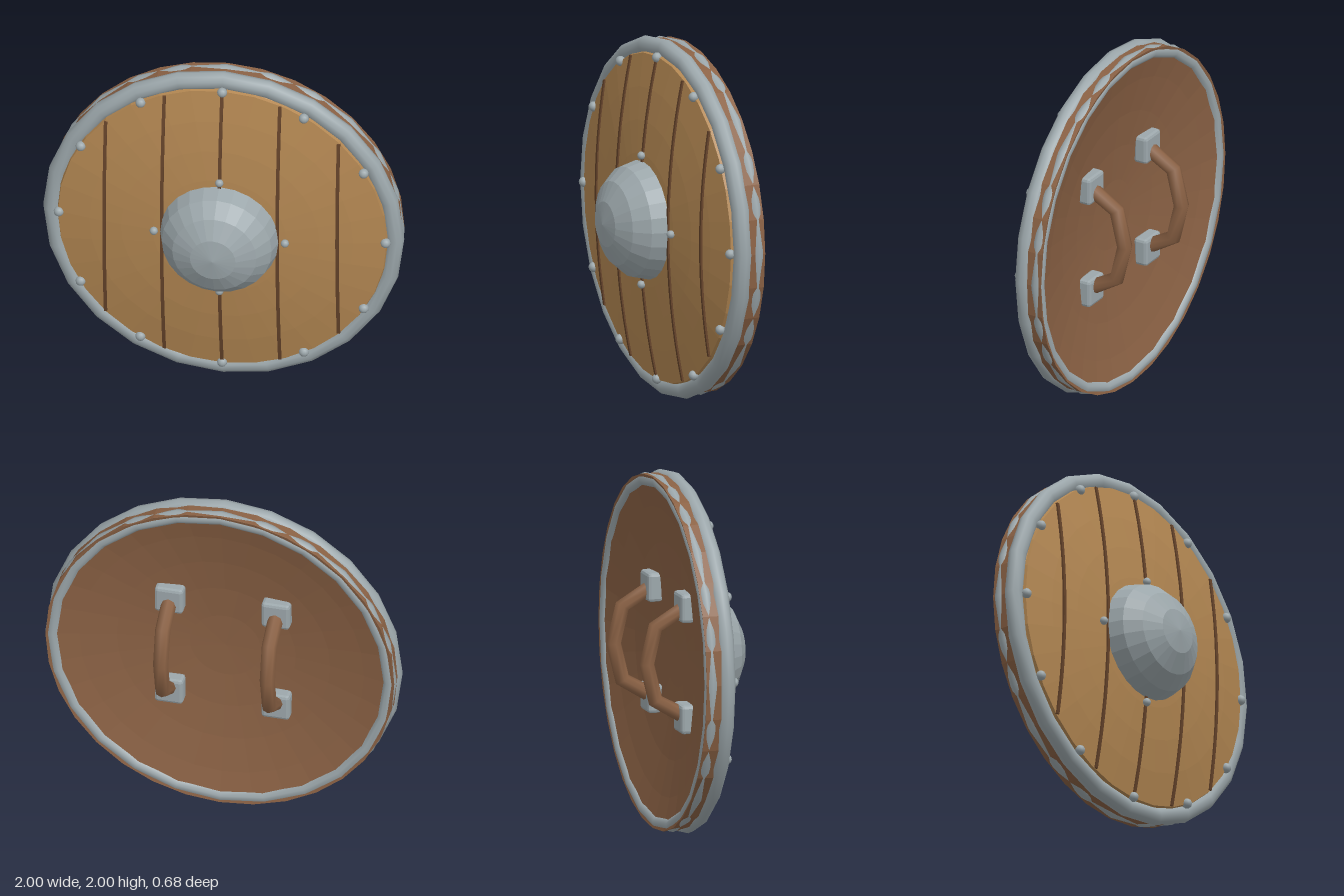
import * as THREE from 'three';
import { RoundedBoxGeometry } from 'three/addons/geometries/RoundedBoxGeometry.js';

const mat = (name, color) => {
  const m = new THREE.MeshStandardMaterial({ color });
  m.name = name;
  return m;
};

// Faceted copy of a geometry
const flat = (geo) => {
  const g = geo.index ? geo.toNonIndexed() : geo;
  g.computeVertexNormals();
  return g;
};

// Height of the curved front and back faces at radius r
const frontZ = (r) => 0.105 * (1 - (r / 0.92) ** 2);
const backZ = (r) => -0.03 - 0.142 * (r / 0.98) ** 2;

export function createModel() {
  const wood = mat('plank wood', 0xb38752);
  const darkWood = mat('dark wood', 0x8a6144);
  const seam = mat('seam brown', 0x65432a);
  const steel = mat('steel', 0x9ca7ab);

  const model = new THREE.Group();
  const shield = new THREE.Group();
  shield.name = 'shield';
  shield.position.y = 1;
  model.add(shield);

  const add = (name, geo, material, x = 0, y = 0, z = 0) => {
    const mesh = new THREE.Mesh(geo, material);
    mesh.name = name;
    mesh.position.set(x, y, z);
    shield.add(mesh);
    return mesh;
  };
  // Profile of [radius, z] turned about the z axis
  const turned = (profile, sides) =>
    flat(new THREE.LatheGeometry(profile.map(([r, z]) => new THREE.Vector2(r, z)), sides).rotateX(Math.PI / 2));

  // Dished back and outer wall
  const back = [0, 0.2, 0.4, 0.6, 0.8, 0.98].map((r) => [r, backZ(r)]);
  add('backing', turned([...back, [0.98, -0.05], [0.94, -0.05]], 32), darkWood);

  // Domed plank face, tucked behind the rim at its edge
  const face = [0.91, 0.73, 0.55, 0.37, 0.18, 0].map((r) => [r, frontZ(r)]);
  add('plankFace', turned([[0.94, -0.05], [0.915, -0.015], ...face], 32), wood);

  // Seams between planks, bent to follow the dome
  for (const x of [-0.645, -0.32, 0, 0.32, 0.645]) {
    const half = Math.sqrt(0.905 ** 2 - x * x);
    const geo = new THREE.BoxGeometry(0.018, half * 2, 0.02, 1, 16, 1);
    const p = geo.attributes.position;
    for (let i = 0; i < p.count; i++) {
      p.setZ(i, p.getZ(i) - 0.001 + frontZ(Math.hypot(x, p.getY(i))));
    }
    add('plankSeam', flat(geo), seam, x);
  }

  // Metal rims
  add('frontRim', new THREE.TorusGeometry(0.95, 0.05, 10, 24), steel, 0, 0, -0.05);
  add('backRim', new THREE.TorusGeometry(0.95, 0.038, 10, 24), steel, 0, 0, -0.136);

  // Central boss
  const boss = [0, 1, 2, 3, 4].map((i) => {
    const a = (i * Math.PI) / 8;
    return [0.33 * Math.cos(a), 0.09 + 0.25 * Math.sin(a)];
  });
  add('boss', turned([[0.33, 0.06], ...boss], 24), steel);

  // Rivets around the rim and the boss
  const rivetRing = (name, count, ring, z, radius) => {
    const geo = new THREE.SphereGeometry(radius, 12, 8);
    for (let i = 0; i < count; i++) {
      const a = (i / count) * Math.PI * 2;
      add(name, geo, steel, ring * Math.cos(a), ring * Math.sin(a), z);
    }
  };
  rivetRing('rimRivet', 12, 0.905, 0.005, 0.028);
  rivetRing('bossRivet', 4, 0.363, 0.1, 0.023);

  // Two grips, each held by a pair of plates
  const plate = flat(new RoundedBoxGeometry(0.16, 0.16, 0.085, 1, 0.018));
  const path = new THREE.CatmullRomCurve3(
    [[0.31, -0.07], [0.22, -0.24], [0, -0.3], [-0.22, -0.24], [-0.31, -0.07]]
      .map(([y, z]) => new THREE.Vector3(0, y, z))
  );
  const grip = new THREE.TubeGeometry(path, 4, 0.043, 8);
  for (const x of [-0.3, 0.3]) {
    add('grip', grip, darkWood, x);
    for (const y of [-0.31, 0.31]) add('gripPlate', plate, steel, x, y, -0.083);
  }

  return model;
}
